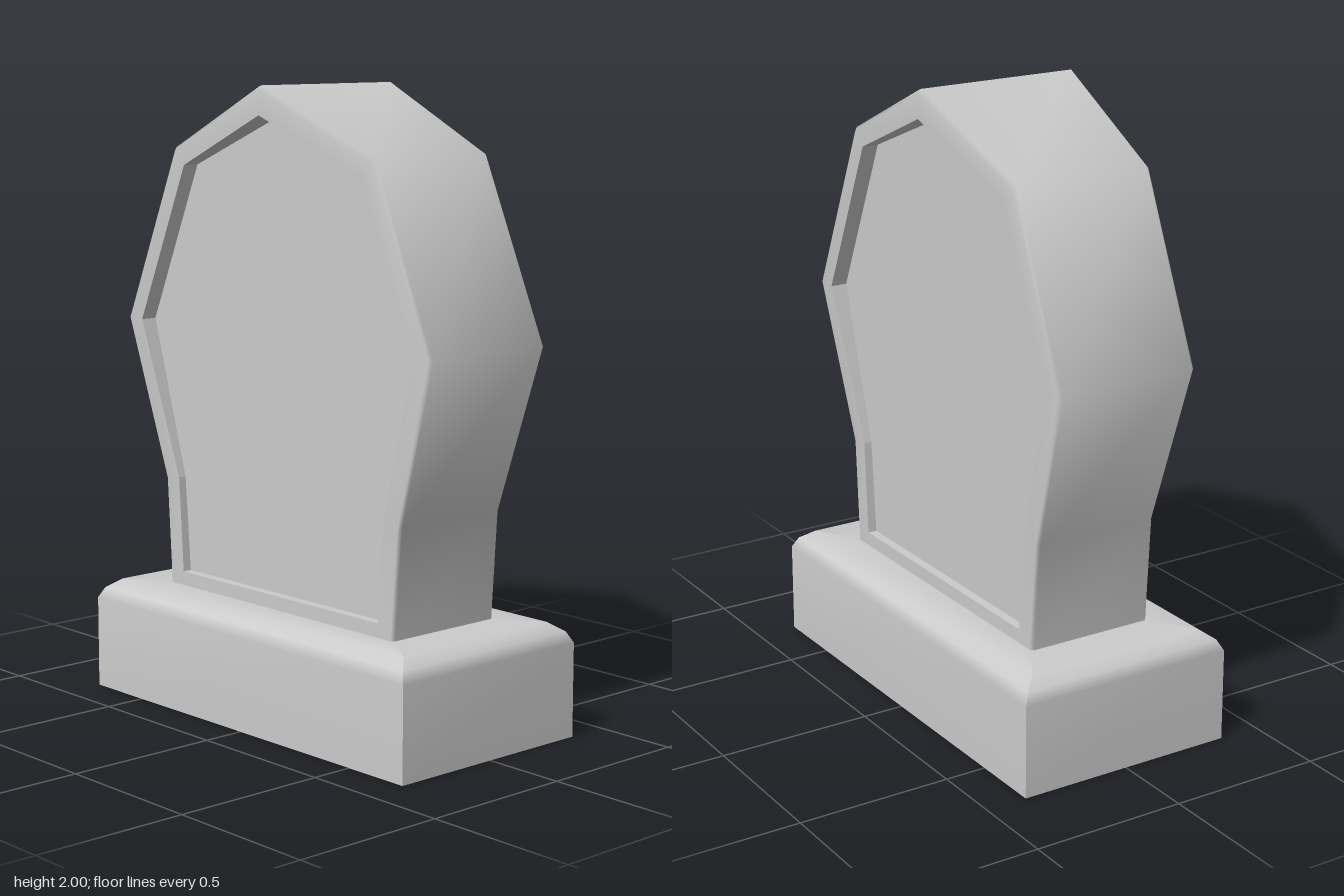
import * as THREE from 'three';

const material = new THREE.MeshStandardMaterial({ color: 0xcccccc, side: THREE.DoubleSide });
const BASE_TOP = 0.365, PANEL_Z = 0.185;

// Right half outlines, bottom to apex: [x, y, half depth]
const outerHalf = [[0.53, BASE_TOP, 0.215], [0.555, 0.71, 0.212], [0.708, 1.23, 0.24], [0.462, 1.793, 0.24], [0, 2, 0.28]];
const innerHalf = [[0.462, 0.41, 0.215], [0.485, 0.72, 0.212], [0.635, 1.228, 0.24], [0.41, 1.74, 0.24], [0, 1.91, 0.28]];

const mirror = half => [...half, ...half.slice(0, -1).reverse().map(([x, y, z]) => [-x, y, z])];

// Joins successive rings of points with quads; smooth normals inside one loft
function loft(rings, closed) {
  const n = rings[0].length, index = [];
  for (let r = 0; r < rings.length - 1; r++) {
    for (let i = 0; i < n; i++) {
      if (i === n - 1 && !closed(r)) continue;
      const j = (i + 1) % n, a = r * n, b = a + n;
      index.push(a + i, b + i, b + j, a + i, b + j, a + j);
    }
  }
  const geometry = new THREE.BufferGeometry();
  geometry.setAttribute('position', new THREE.Float32BufferAttribute(rings.flat(2), 3));
  geometry.setIndex(index);
  geometry.computeVertexNormals();
  return geometry;
}

function add(group, name, geometry) {
  const mesh = new THREE.Mesh(geometry, material);
  mesh.name = name;
  group.add(mesh);
  return mesh;
}

function createStone() {
  const stone = new THREE.Group();
  stone.name = 'headstone';
  const outer = mirror(outerHalf), inner = mirror(innerHalf);

  // Body: front rim, small bevel, side band, bevel, back rim; open underneath
  const lip = outer.map(([x, y, z], i) => {
    const [ix, iy] = inner[i];
    return [x + (ix - x) * 0.15, y === BASE_TOP ? y : y + (iy - y) * 0.15, z];
  });
  const flip = ring => ring.map(([x, y, z]) => [x, y, -z]);
  const edge = outer.map(([x, y, z]) => [x, y, z - 0.01]);
  const body = [inner, lip, edge, flip(edge), flip(lip), flip(inner)];
  add(stone, 'stoneBody', loft(body, r => r === 0 || r === 4));

  // Recessed flat panel with its walls, on both faces
  const shape = new THREE.Shape(inner.map(([x, y]) => new THREE.Vector2(x, y)));
  for (const side of ['front', 'back']) {
    const recess = new THREE.Group();
    recess.name = side + 'Recess';
    add(recess, side + 'Panel', new THREE.ShapeGeometry(shape)).position.z = PANEL_Z;
    // each wall has its own vertices, so its corners stay sharp
    const walls = loft([inner.map(([x, y]) => [x, y, PANEL_Z]), inner], () => true).toNonIndexed();
    walls.computeVertexNormals();
    add(recess, side + 'RecessWalls', walls);
    if (side === 'back') recess.rotation.y = Math.PI;
    stone.add(recess);
  }
  return stone;
}

function createBase() {
  const base = new THREE.Group();
  base.name = 'base';
  // Profile from the ground to the opening under the stone: [half width, half depth, y]
  const profile = [
    [0.73, 0.365, 0], [0.73, 0.365, 0.3], [0.712, 0.347, 0.335],
    [0.67, 0.305, BASE_TOP], [0.525, 0.21, BASE_TOP],
  ];
  // One strip per side keeps the mitred corners sharp
  ['front', 'right', 'back', 'left'].forEach((side, k) => {
    const alongX = k % 2 === 0;
    const rings = profile.map(([hx, hz, y]) => {
      const [w, d] = alongX ? [hx, hz] : [hz, hx];
      return [[w, y, d], [-w, y, d]];
    }).reverse();
    const strip = add(base, side + 'BaseSide', loft(rings, () => false));
    strip.rotation.y = -k * Math.PI / 2;
  });
  return base;
}

export function createModel() {
  const model = new THREE.Group();
  model.name = 'gravestone';
  model.add(createBase(), createStone());
  return model;
}
